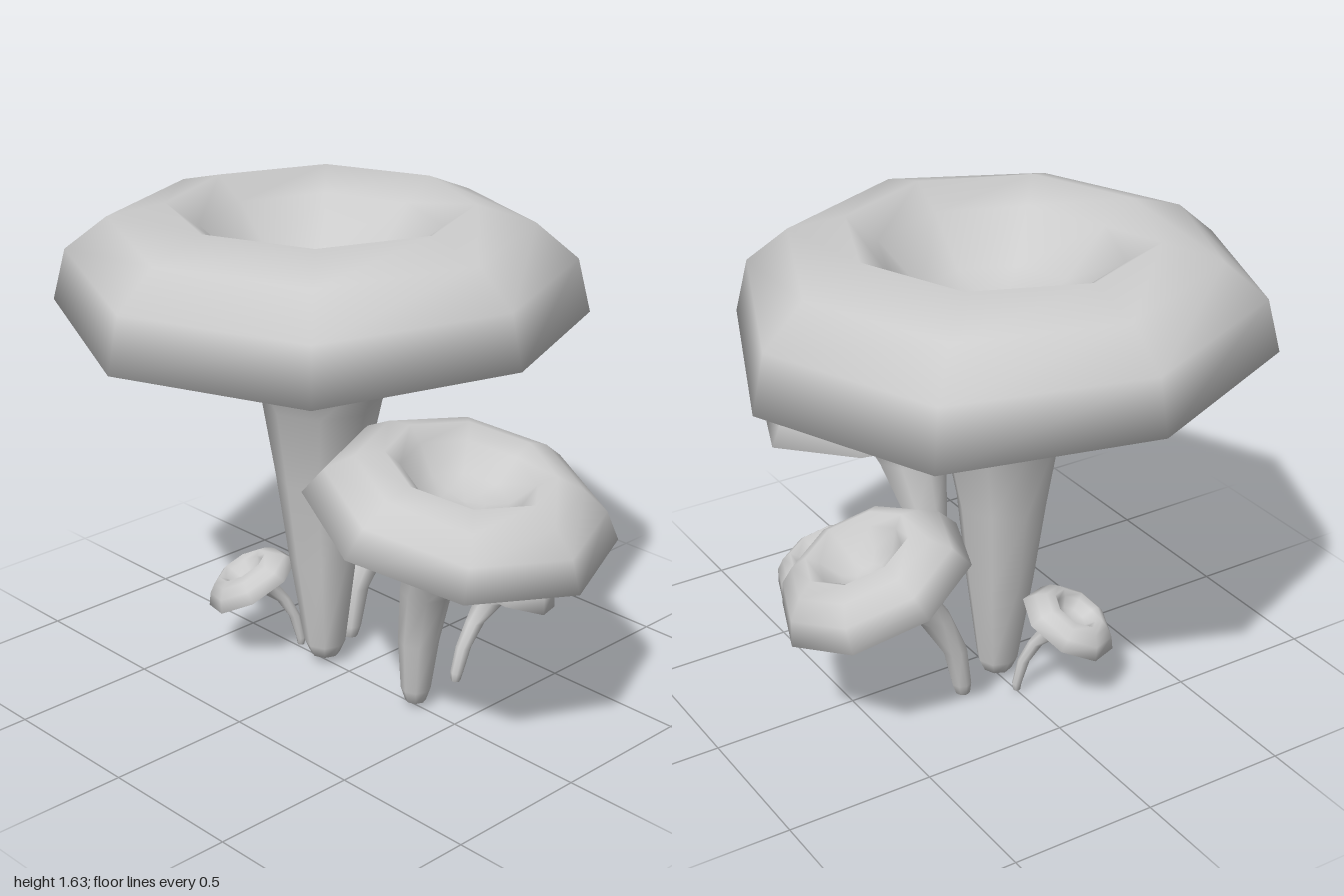
import * as THREE from 'three';

const SIDES = 8;
const material = new THREE.MeshStandardMaterial({ color: 0xcccccc, side: THREE.DoubleSide });

// Cap sections: [share of cap radius, share of cap height, amount of rim wave, narrowing when domed]
const UNDERSIDE = [[0.46, 0, 0, 0], [0.62, 0.1, 0.3, 0], [0.84, 0.11, 0.8, 0], [1, 0, 1, 0]];
const CROWN = [
  [0.95, 0.5, 0.7, 0.06], [0.79, 0.83, 0.4, 0.07], [0.57, 1, 0, 0.03], [0.45, 0.8, 0, 0.02],
  [0.29, 0.38, 0, 0], [0.14, 0.28, 0, 0], [0.001, 0.26, 0, 0],
];

// Joins eight-sided rings { center, turn, radius, wave } into a smooth skin
function loft(rings) {
  const positions = [], index = [];
  rings.forEach(({ center, turn, radius, wave = 0 }, i) => {
    for (let j = 0; j < SIDES; j++) {
      const a = (j / SIDES) * Math.PI * 2;
      const lift = wave * (Math.cos(2 * a) + Math.sin(2 * a) - Math.sin(a));
      const p = new THREE.Vector3(Math.sin(a) * radius, lift, Math.cos(a) * radius);
      positions.push(...p.applyQuaternion(turn).add(center).toArray());
      if (i === 0) continue;
      const k = (j + 1) % SIDES, low = (i - 1) * SIDES, high = i * SIDES;
      index.push(low + j, low + k, high + k, low + j, high + k, high + j);
    }
  });
  const geometry = new THREE.BufferGeometry();
  geometry.setAttribute('position', new THREE.Float32BufferAttribute(positions, 3));
  geometry.setIndex(index);
  geometry.computeVertexNormals();
  return geometry;
}

// stem: [x, y, z, radius] from the ground up
// cap: rim centre, radius, height, tilt about x and z, rim wave, and dome (narrows the crown)
function mushroom(name, stem, { at, radius, height, tilt = [0, 0], wave = 0, dome = 0 }) {
  const group = new THREE.Group();
  group.name = name;
  const center = new THREE.Vector3(...at);
  const turn = new THREE.Quaternion().setFromEuler(new THREE.Euler(tilt[0], 0, tilt[1]));

  // the stem leans gradually into the tilt of the cap
  const stemRings = stem.map(([x, y, z, r], i) => ({
    center: new THREE.Vector3(x, y, z),
    turn: new THREE.Quaternion().slerp(turn, (i / stem.length) ** 2),
    radius: r,
  }));
  const [x, y, z, r] = stem[0];
  stemRings.unshift({ center: new THREE.Vector3(x, y - r * 0.4, z), turn: new THREE.Quaternion(), radius: 0.001 });
  stemRings.push({ center, turn, radius: radius * UNDERSIDE[0][0] });

  const capRings = [...UNDERSIDE, ...CROWN].map(([pr, ph, pw, pd]) => ({
    center: new THREE.Vector3(0, ph * height, 0).applyQuaternion(turn).add(center),
    turn,
    radius: (pr - pd * dome) * radius,
    wave: pw * wave,
  }));

  for (const [part, rings] of [['stem', stemRings], ['cap', capRings]]) {
    const mesh = new THREE.Mesh(loft(rings), material);
    mesh.name = part;
    group.add(mesh);
  }
  return group;
}

export function createModel() {
  const model = new THREE.Group();
  model.name = 'mushroomCluster';
  model.add(
    mushroom('mainMushroom',
      [[0, 0.035, -0.12, 0.05], [0, 0.08, -0.12, 0.07], [0, 0.4, -0.13, 0.115], [0, 0.7, -0.14, 0.15],
        [0, 0.97, -0.13, 0.2], [0, 1.15, -0.13, 0.285]],
      { at: [0, 1.275, -0.13], radius: 0.87, height: 0.362, wave: 0.022 }),
    mushroom('frontMushroom',
      [[0, 0.025, 0.32, 0.035], [0, 0.07, 0.32, 0.05], [0, 0.25, 0.33, 0.068], [0, 0.44, 0.36, 0.085],
        [0, 0.6, 0.44, 0.125], [0, 0.69, 0.48, 0.165]],
      { at: [0, 0.755, 0.505], radius: 0.505, height: 0.19, tilt: [0.2, -0.025], dome: 1 }),
    mushroom('leftMushroom',
      [[0.17, 0.02, -0.17, 0.025], [0.175, 0.06, -0.17, 0.034], [0.2, 0.2, -0.17, 0.042],
        [0.27, 0.34, -0.16, 0.055], [0.38, 0.46, -0.145, 0.085]],
      { at: [0.475, 0.525, -0.135], radius: 0.337, height: 0.155, tilt: [0.12, -0.37], dome: 1 }),
    mushroom('smallFrontMushroom',
      [[0.21, 0.01, 0.305, 0.016], [0.215, 0.04, 0.305, 0.022], [0.24, 0.13, 0.31, 0.026],
        [0.29, 0.21, 0.315, 0.032], [0.35, 0.275, 0.325, 0.05]],
      { at: [0.39, 0.312, 0.33], radius: 0.205, height: 0.105, tilt: [0.17, -0.35], dome: 1 }),
    mushroom('smallBackMushroom',
      [[0.005, 0.015, -0.25, 0.012], [0.005, 0.04, -0.25, 0.016], [-0.015, 0.13, -0.26, 0.02],
        [-0.05, 0.2, -0.28, 0.024], [-0.105, 0.26, -0.315, 0.04]],
      { at: [-0.14, 0.272, -0.335], radius: 0.172, height: 0.075, tilt: [-0.35, 0.36], dome: 1.6 }),
  );
  return model;
}
